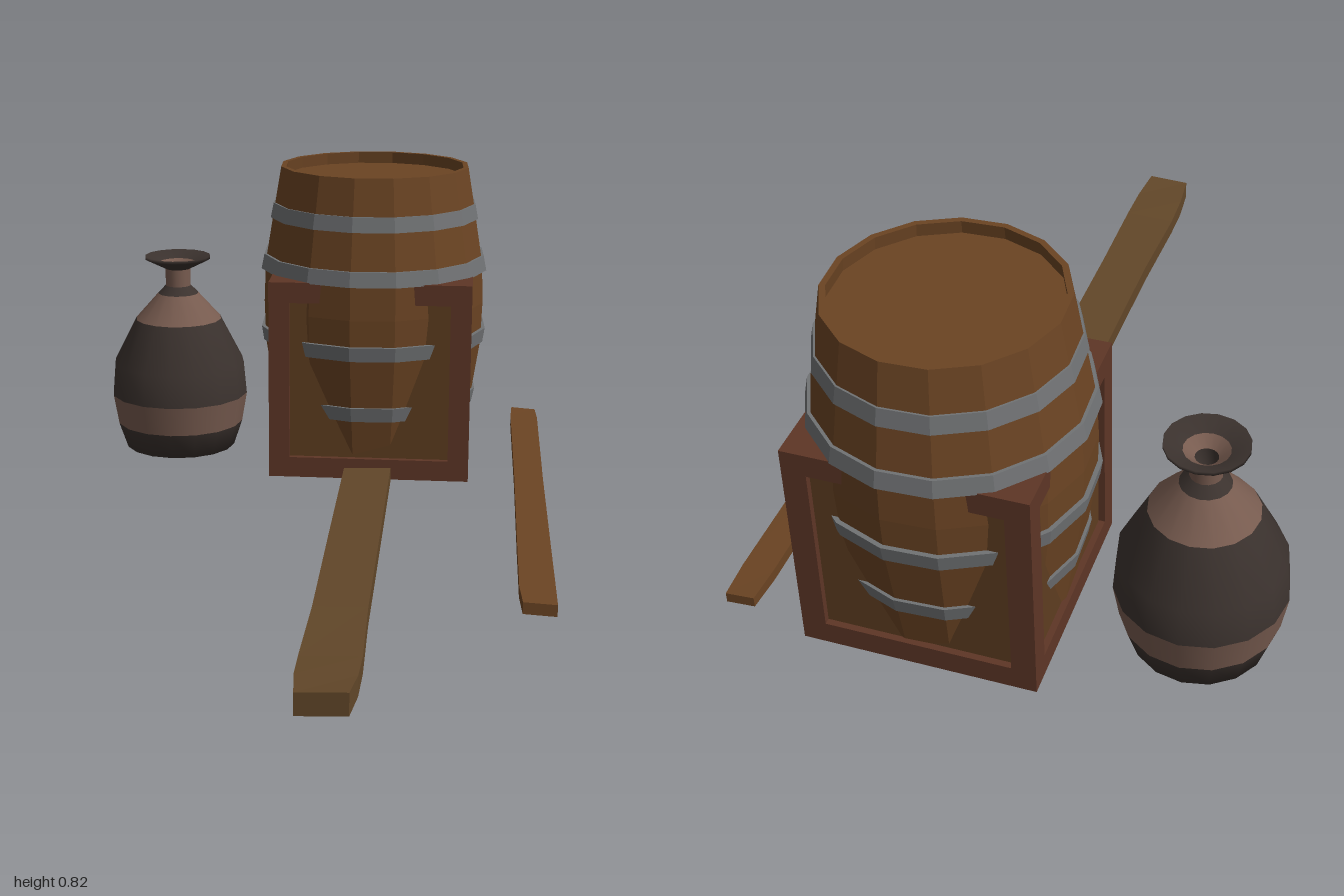
import * as THREE from 'three';

const mat = (color, flat = true) =>
  new THREE.MeshStandardMaterial({ color, flatShading: flat, side: THREE.DoubleSide });
const wood = mat(0x6b4423), iron = mat(0x707274), frameWood = mat(0x5e3626), panelWood = mat(0x5e3d20);
const oldWood = mat(0x624729), clayDark = mat(0x3b322e, false), clayTan = mat(0x775b4f, false);

function add(parent, name, geometry, material, x = 0, y = 0, z = 0) {
  const mesh = new THREE.Mesh(geometry, material);
  mesh.name = name;
  mesh.position.set(x, y, z);
  parent.add(mesh);
  return mesh;
}

function group(name, x, z) {
  const g = new THREE.Group();
  g.name = name;
  g.position.set(x, 0, z);
  return g;
}

// points are [radius, y]
const lathe = (points, sides) =>
  new THREE.LatheGeometry(points.map(([r, y]) => new THREE.Vector2(r, y)), sides);

function makeBarrel() {
  const g = group('barrel', 0.132, -0.69);
  g.rotation.y = THREE.MathUtils.degToRad(14);
  const body = [[0, 0.06], [0.254, 0.06], [0.277, 0.2], [0.3, 0.35], [0.304, 0.46],
    [0.3, 0.57], [0.277, 0.71], [0.257, 0.828], [0.243, 0.828], [0.246, 0.795]];
  add(g, 'barrelStaves', lathe(body, 16), wood);
  add(g, 'barrelLid', lathe([[0.246, 0.797], [0, 0.797]], 16), wood);
  // hoops: bottom y, top y, bottom radius, top radius
  for (const [y0, y1, r0, r1] of [[0.178, 0.217, 0.279, 0.287], [0.35, 0.389, 0.306, 0.312],
    [0.55, 0.59, 0.312, 0.304], [0.69, 0.73, 0.286, 0.278]]) {
    add(g, 'barrelHoop', lathe([[r0 - 0.03, y0], [r0, y0], [r1, y1], [r1 - 0.03, y1]], 16), iron);
  }
  return g;
}

function makeCrate() {
  const g = group('crate', 0.137, -0.688);
  const size = 0.535, bar = 0.055, inset = 0.015, mid = 0.018 + size / 2;
  const off = (size - bar) / 2, inner = size - 2 * bar;
  const core = size - 2 * inset;
  add(g, 'cratePanels', new THREE.BoxGeometry(core, core, core), panelWood, 0, mid, 0);
  for (const a of [-1, 1]) {
    for (const b of [-1, 1]) {
      add(g, 'cratePost', new THREE.BoxGeometry(bar, size, bar), frameWood, a * off, mid, b * off);
      add(g, 'crateCrossRail', new THREE.BoxGeometry(inner, bar, bar), frameWood, 0, mid + a * off, b * off);
      add(g, 'crateSideRail', new THREE.BoxGeometry(bar, bar, inner), frameWood, a * off, mid + b * off, 0);
    }
  }
  return g;
}

function makeJug() {
  const g = group('jug', -0.415, -0.69);
  const sections = [
    ['jugFoot', clayDark, [[0, 0.022], [0.153, 0.022], [0.177, 0.093]]],
    ['jugLowerBand', clayTan, [[0.177, 0.093], [0.191, 0.175]]],
    ['jugBelly', clayDark, [[0.191, 0.175], [0.183, 0.265], [0.12, 0.388]]],
    ['jugShoulder', clayTan, [[0.12, 0.388], [0.056, 0.46]]],
    ['jugCollar', clayDark, [[0.056, 0.46], [0.035, 0.482]]],
    ['jugNeck', clayTan, [[0.035, 0.482], [0.035, 0.53]]],
    ['jugRim', clayDark, [[0.035, 0.53], [0.091, 0.558], [0.091, 0.566], [0.05, 0.548]]],
    ['jugMouth', clayTan, [[0.05, 0.548], [0.025, 0.528]]],
    ['jugInside', clayDark, [[0.025, 0.528], [0.023, 0.47], [0, 0.47]]],
  ];
  for (const [name, material, points] of sections) add(g, name, lathe(points, 16), material);
  return g;
}

// worn board through stations [z, centre x, centre y, width, height, tilt]
function board(stations) {
  const n = stations.length - 1;
  const geo = new THREE.BoxGeometry(1, 1, n, 1, 1, n);
  const p = geo.attributes.position;
  for (let i = 0; i < p.count; i++) {
    const [z, cx, cy, w, h, tilt] = stations[Math.round(p.getZ(i) + n / 2)];
    const side = p.getX(i);
    p.setXYZ(i, cx + side * w, cy + p.getY(i) * h + side * tilt, z);
  }
  geo.computeVertexNormals();
  return geo;
}

export function createModel() {
  const model = new THREE.Group();
  model.name = 'barrelCrateAndJug';
  model.add(makeBarrel(), makeCrate(), makeJug());

  // wide plank running under the crate
  add(model, 'widePlank', board([
    [-0.94, 0.135, 0.025, 0.12, 0.04, 0.003], [-0.4, 0.135, 0.029, 0.125, 0.04, 0.004],
    [0.1, 0.135, 0.03, 0.124, 0.042, 0.004], [0.55, 0.135, 0.029, 0.122, 0.044, 0.003],
    [0.8, 0.134, 0.027, 0.132, 0.04, 0.004], [0.9, 0.133, 0.029, 0.128, 0.046, 0.002],
    [0.995, 0.132, 0.033, 0.108, 0.05, 0.004]]), oldWood);

  // narrow plank lying alongside
  add(model, 'narrowPlank', board([
    [-0.94, 0.562, 0.065, 0.068, 0.025, -0.005], [-0.85, 0.562, 0.064, 0.076, 0.028, -0.004],
    [-0.3, 0.561, 0.064, 0.074, 0.027, -0.005], [0.2, 0.56, 0.064, 0.078, 0.027, -0.004],
    [0.47, 0.56, 0.065, 0.08, 0.026, -0.005], [0.56, 0.563, 0.065, 0.074, 0.027, -0.004]]), wood);
  return model;
}
